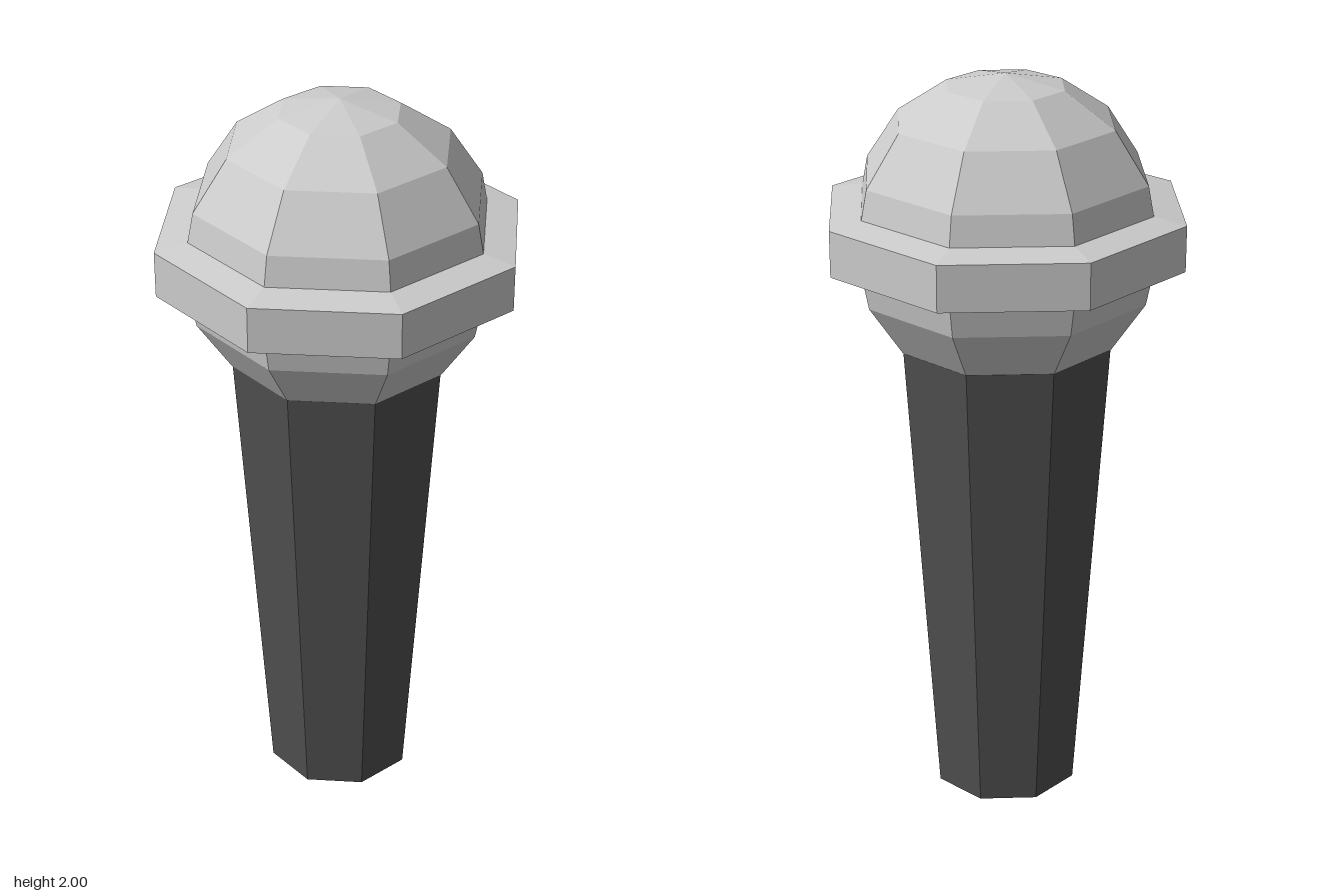
import * as THREE from 'three';

const SIDES = 8;

export function createModel() {
  const model = new THREE.Group();
  model.name = 'microphone';

  const silver = new THREE.MeshStandardMaterial({ color: 0xcccccc, flatShading: true });
  silver.name = 'silver';
  const darkGrey = new THREE.MeshStandardMaterial({ color: 0x505050, flatShading: true });
  darkGrey.name = 'dark grey';

  function addPart(name, geometry, material, y = 0) {
    const mesh = new THREE.Mesh(geometry, material);
    mesh.name = name;
    mesh.position.y = y;
    model.add(mesh);
  }

  // Tapered handle, closed at the bottom
  addPart('handle', new THREE.CylinderGeometry(0.288, 0.2, 1.303, SIDES), darkGrey, 0.6515);

  // Faceted ball head
  addPart('head', new THREE.SphereGeometry(0.41, SIDES, 8), silver, 1.59);

  // Collar band around the head, its top and bottom sloping slightly outward
  const profile = [
    [0.36, 1.514], [0.394, 1.52], [0.48, 1.534],
    [0.48, 1.655], [0.394, 1.67], [0.36, 1.676],
  ].map(([r, y]) => new THREE.Vector2(r, y));
  addPart('collar', new THREE.LatheGeometry(profile, SIDES), silver);

  return model;
}
